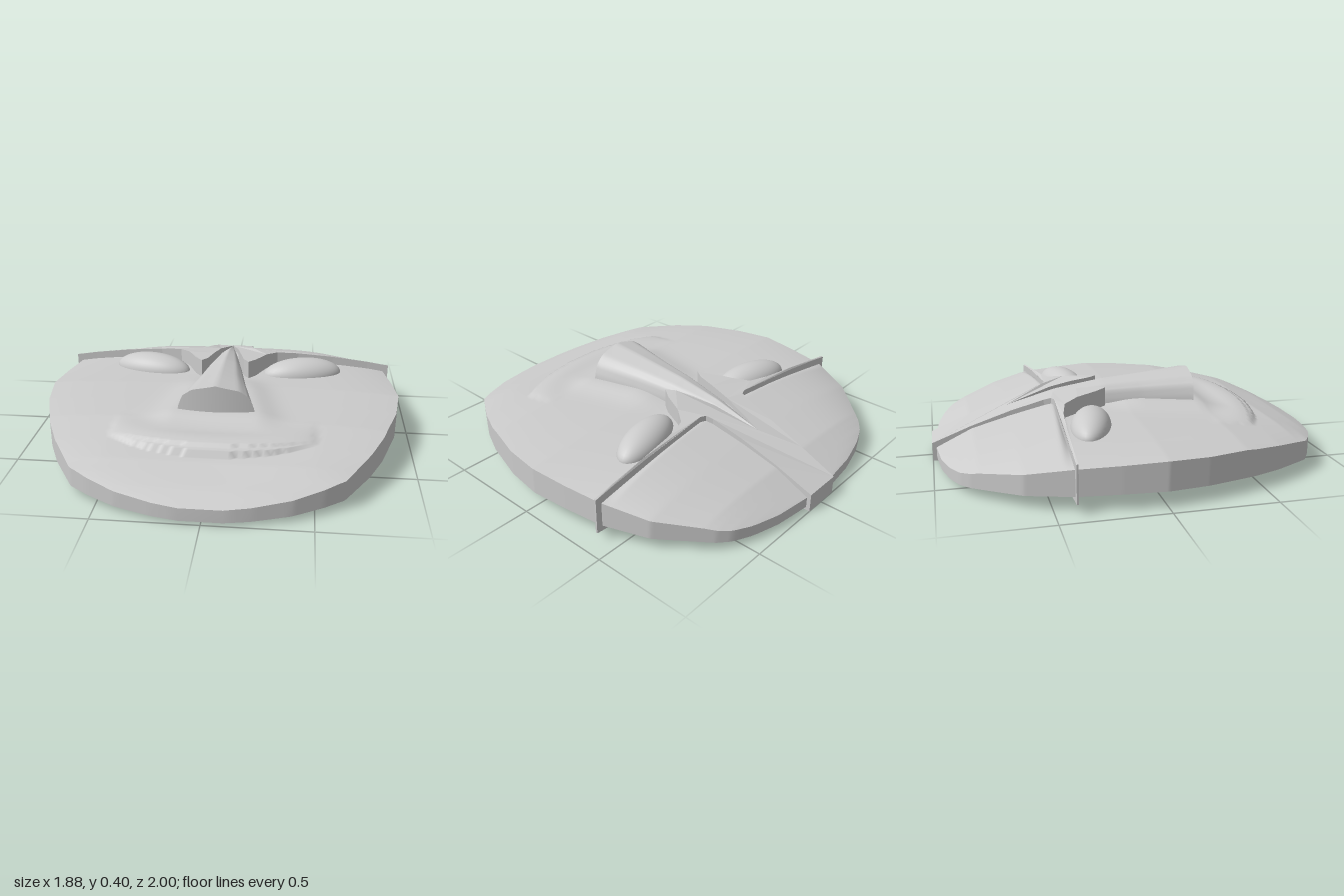
import * as THREE from 'three';

const material = new THREE.MeshStandardMaterial({ color: 0xcccccc });
const clamp = THREE.MathUtils.clamp;
const smooth = THREE.MathUtils.smoothstep;

// Piecewise linear lookup in a list of [position, value] pairs
function lookup(table, t) {
  if (t <= table[0][0]) return table[0][1];
  for (let i = 1; i < table.length; i++) {
    const [t0, v0] = table[i - 1], [t1, v1] = table[i];
    if (t <= t1) return v0 + (v1 - v0) * (t - t0) / (t1 - t0);
  }
  return table[table.length - 1][1];
}

// Surface from a grid of points; the front side is (row direction) x (column direction)
function gridGeometry(rows, cols, point) {
  const pos = [], index = [];
  for (let i = 0; i <= rows; i++)
    for (let j = 0; j <= cols; j++) pos.push(...point(i, j));
  for (let i = 0; i < rows; i++)
    for (let j = 0; j < cols; j++) {
      const a = i * (cols + 1) + j, b = a + cols + 1;
      index.push(a, b, a + 1, b, b + 1, a + 1);
    }
  const g = new THREE.BufferGeometry();
  g.setAttribute('position', new THREE.Float32BufferAttribute(pos, 3));
  g.setIndex(index);
  g.computeVertexNormals();
  return g;
}

function addMesh(parent, name, geometry) {
  const mesh = new THREE.Mesh(geometry, material);
  mesh.name = name;
  parent.add(mesh);
  return mesh;
}

// Face: half width, rim height and centre height along z (forehead to chin)
const BACK = -0.98, FRONT = 1;
const halfWidth = [[-0.98, 0.1], [-0.96, 0.3], [-0.925, 0.45], [-0.885, 0.55], [-0.84, 0.61], [-0.62, 0.8],
  [-0.4, 0.89], [-0.2, 0.92], [0, 0.94], [0.2, 0.91], [0.45, 0.83], [0.6, 0.76], [0.8, 0.635],
  [0.86, 0.54], [0.93, 0.4], [0.98, 0.22], [1, 0.1]];
const rimHeight = [[-0.98, 0.075], [-0.8, 0.125], [-0.6, 0.165], [-0.4, 0.2], [0, 0.22], [0.4, 0.205],
  [0.6, 0.18], [0.82, 0.143], [0.93, 0.11], [1, 0.085]];
const foreheadHeight = [[-0.98, 0.075], [-0.8, 0.165], [-0.6, 0.225], [-0.4, 0.28], [-0.3, 0.295]];
const cheekHeight = [[-0.5, 0.24], [0, 0.245], [0.4, 0.23], [0.6, 0.2], [0.74, 0.18], [0.9, 0.127], [1, 0.085]];
const noseWidth = [[-0.6, 0.005], [-0.35, 0.055], [-0.1, 0.105], [0.1, 0.14], [0.36, 0.2]];
const noseHeight = [[-0.6, 0.25], [-0.35, 0.32], [-0.1, 0.36], [0.36, 0.4]];

function faceTop(x, z) {
  const s = Math.min(1, Math.abs(x) / lookup(halfWidth, z));
  const ax = Math.abs(x), rim = lookup(rimHeight, z);
  // Forehead ends in a brow ridge above the eye sockets
  const browLine = -0.345 - 0.1 * ax;
  const past = smooth(z, browLine - 0.025, browLine + 0.025);
  const centre = THREE.MathUtils.lerp(lookup(foreheadHeight, z), lookup(cheekHeight, z), past);
  let y = rim + (centre - rim) * (1 - s ** 4);
  // Cheeks rise softly toward the nose
  if (z > -0.15) {
    const d = Math.max(0, ax - lookup(noseWidth, z)) / 0.1;
    y += 0.03 * Math.exp(-d * d) * smooth(z, -0.15, 0.1) * (1 - smooth(z, 0.36, 0.55));
  }
  // Upper lip swells to the mouth line, lower lip lies just beyond it
  const m = clamp(1 - (x / 0.5) ** 2, 0, 1);
  const mouth = 0.56 + 0.1 * m, lower = mouth + 0.04 * Math.sqrt(m);
  if (m > 0) {
    if (z < mouth) y += 0.036 * Math.sqrt(m) * smooth(z, mouth - 0.22, mouth - 0.03);
    else if (z < lower) y += 0.022 * Math.sqrt(m);
    else y -= 0.008 * m * (1 - smooth(z, lower, 0.95));
  }
  return y;
}
const faceBottom = x => 0.02 + 0.06 * (x / 0.94) ** 2;

function buildFace() {
  const face = new THREE.Group();
  face.name = 'face';
  const rows = 200, cols = 90;
  const rowZ = i => BACK + (FRONT - BACK) * i / rows;
  addMesh(face, 'faceSurface', gridGeometry(rows, cols, (i, j) => {
    const z = rowZ(i), x = (2 * j / cols - 1) * lookup(halfWidth, z);
    return [x, faceTop(x, z), z];
  }));
  addMesh(face, 'faceBack', gridGeometry(rows, 24, (i, j) => {
    const z = rowZ(i), x = (1 - 2 * j / 24) * lookup(halfWidth, z);
    return [x, faceBottom(x), z];
  }));
  // Rim wall runs down one side and back up the other
  const loop = [];
  for (let i = 0; i <= rows; i++) loop.push([lookup(halfWidth, rowZ(i)), rowZ(i)]);
  for (let i = rows; i >= 0; i--) loop.push([-lookup(halfWidth, rowZ(i)), rowZ(i)]);
  loop.push(loop[0]);
  addMesh(face, 'faceRim', gridGeometry(1, loop.length - 1, (i, j) => {
    const [x, z] = loop[j];
    return [x, i ? faceTop(x, z) : faceBottom(x), z];
  }));
  return face;
}

// Nose: domed sections along z, closed by a steep end face
function buildNose() {
  const nose = new THREE.Group();
  nose.name = 'nose';
  const half = [[0, 1], [0.6, 0.87], [0.85, 0.68], [0.97, 0.35], [1, 0]];
  const cols = 32, base = 0.2;
  const section = (z, j) => {
    const a = (j / cols - 0.5) * Math.PI, u = Math.sin(a);
    const x = u * lookup(noseWidth, z);
    const y = base + (lookup(noseHeight, z) - base) * lookup(half, Math.abs(u));
    return [x, y, z + 0.022 * (1 - u * u) * smooth(z, 0.2, 0.36)];
  };
  addMesh(nose, 'noseBridge', gridGeometry(48, cols, (i, j) => section(-0.6 + 0.96 * i / 48, j)));
  addMesh(nose, 'noseEnd', gridGeometry(1, cols, (i, j) => {
    const [x, y, z] = section(0.36, j);
    return [x, i ? base : y, z];
  }));
  return nose;
}

// Brow: forehead strip forking into two prongs beside the nose, with a thin arm to each side
function buildBrow() {
  const right = [[0.1, -1], [0.108, -0.8], [0.12, -0.6], [0.138, -0.43], [0.15, -0.395], [0.18, -0.383],
    [0.35, -0.395], [0.6, -0.402], [0.8, -0.406], [0.92, -0.408], [0.92, -0.398], [0.8, -0.396],
    [0.6, -0.388], [0.4, -0.372], [0.28, -0.345], [0.22, -0.27], [0.17, -0.16], [0.13, -0.105],
    [0.1, -0.15], [0.075, -0.25], [0.05, -0.37]];
  const left = right.map(([x, z]) => [-x, z]).reverse();
  const outline = [...right, [0, -0.61], ...left].map(([x, z]) => new THREE.Vector2(x, -z));
  const g = new THREE.ExtrudeGeometry(new THREE.Shape(outline), { depth: 1, bevelEnabled: false });
  g.rotateX(-Math.PI / 2);
  const ridge = [[-1, 0.1], [-0.8, 0.18], [-0.6, 0.25], [-0.4, 0.312], [-0.25, 0.335], [-0.1, 0.345]];
  const p = g.attributes.position;
  for (let i = 0; i < p.count; i++) {
    const x = p.getX(i), z = p.getZ(i);
    p.setY(i, p.getY(i) > 0.5 ? lookup(ridge, z) - 0.09 * x * x : 0.003 + 0.055 * x * x);
  }
  g.computeVertexNormals();
  return g;
}

export function createModel() {
  const model = new THREE.Group();
  model.name = 'mask';
  model.add(buildFace(), buildNose());
  addMesh(model, 'brow', buildBrow());

  // Eyes: flattened ellipsoids tilted up at the outer corners
  for (const side of [1, -1]) {
    const eye = addMesh(model, side > 0 ? 'leftEye' : 'rightEye', new THREE.SphereGeometry(1, 36, 24));
    eye.scale.set(0.222, 0.09, 0.1);
    eye.position.set(side * 0.425, 0.23, -0.242);
    eye.rotation.y = side * 0.24;
  }
  return model;
}
